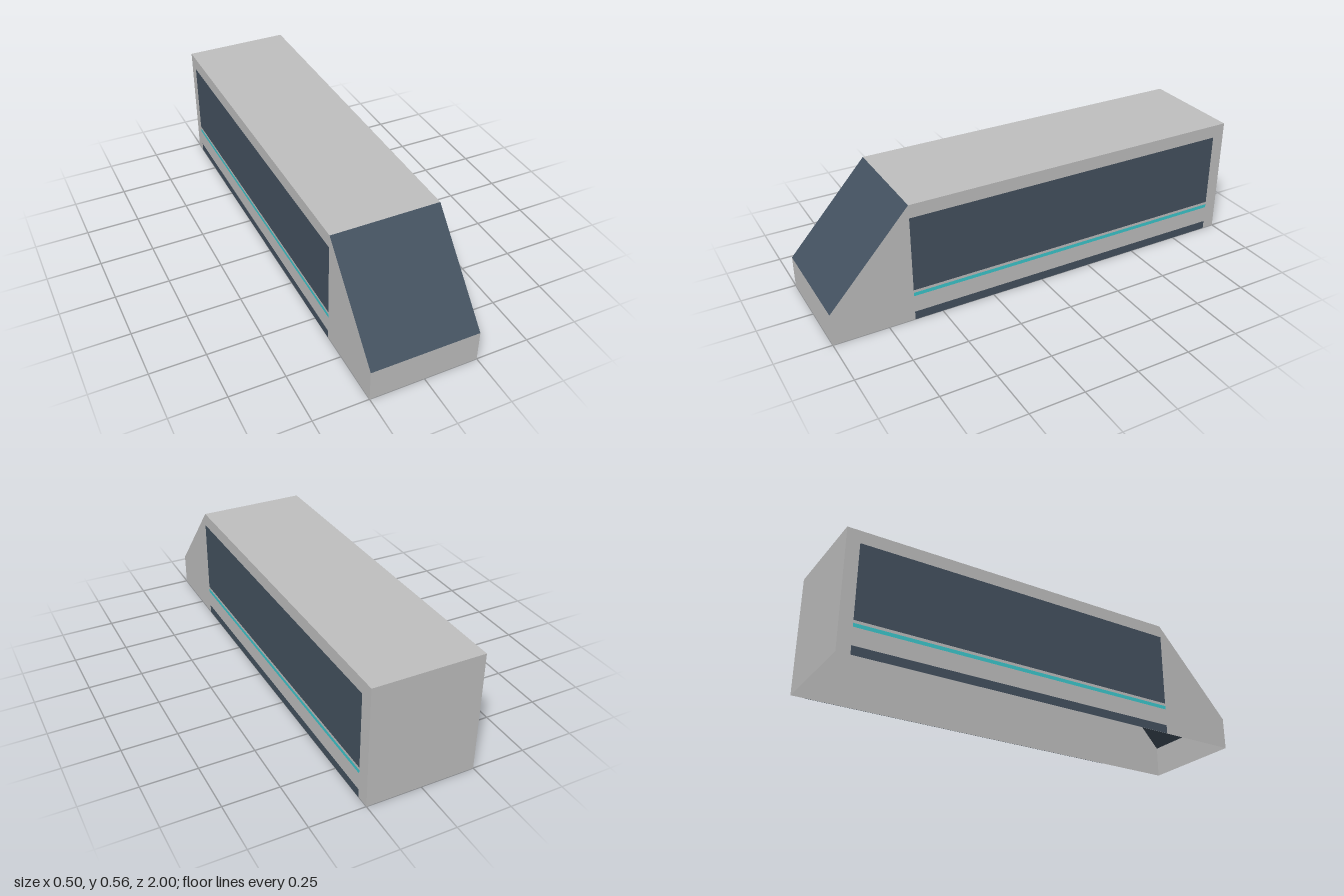
import * as THREE from 'three';

const WIDTH = 0.5;
// side outline as [z, y], from the nose bottom over the roof to the back bottom
const PROFILE = [[1, 0], [1, 0.15], [0.63, 0.56], [-1, 0.56], [-1, 0]];

function material(name, color) {
  const m = new THREE.MeshStandardMaterial({ color, side: THREE.DoubleSide });
  m.name = name;
  return m;
}

export function createModel() {
  const group = new THREE.Group();
  group.name = 'trainCar';
  const body = material('body grey', 0xc0c0c0);
  const glass = material('dark glass', 0x445260);
  const stripe = material('turquoise', 0x3cc8ce);

  const add = (name, geometry, mat, parent = group) => {
    const mesh = new THREE.Mesh(geometry, mat);
    mesh.name = name;
    parent.add(mesh);
    return mesh;
  };

  // cross panels along the outline; the underside stays open
  ['nose', 'windshield', 'roof', 'backWall'].forEach((name, i) => {
    const [z1, y1] = PROFILE[i], [z2, y2] = PROFILE[i + 1];
    const length = Math.hypot(z2 - z1, y2 - y1);
    const panel = add(name, new THREE.PlaneGeometry(WIDTH, length), name === 'windshield' ? glass : body);
    panel.position.set(0, (y1 + y2) / 2, (z1 + z2) / 2);
    panel.rotation.x = -Math.atan2(z1 - z2, y2 - y1);
  });

  // side walls with their window band, stripe and skirt
  for (const side of [-1, 1]) {
    const label = side > 0 ? 'left' : 'right';
    const wall = new THREE.Group();
    wall.name = label + 'Side';
    wall.position.x = side * WIDTH / 2;
    wall.rotation.y = side * Math.PI / 2;
    group.add(wall);

    const outline = new THREE.Shape(PROFILE.map(([z, y]) => new THREE.Vector2(-side * z, y)));
    add(label + 'Wall', new THREE.ShapeGeometry(outline), body, wall);

    const bands = [['Windows', 0.15, 0.5, glass], ['Stripe', 0.12, 0.137, stripe], ['Skirt', 0, 0.04, glass]];
    for (const [name, bottom, top, mat] of bands) {
      const band = add(label + name, new THREE.PlaneGeometry(1.57, top - bottom), mat, wall);
      band.position.set(side * 0.155, (bottom + top) / 2, 0.002);
    }
  }
  return group;
}
